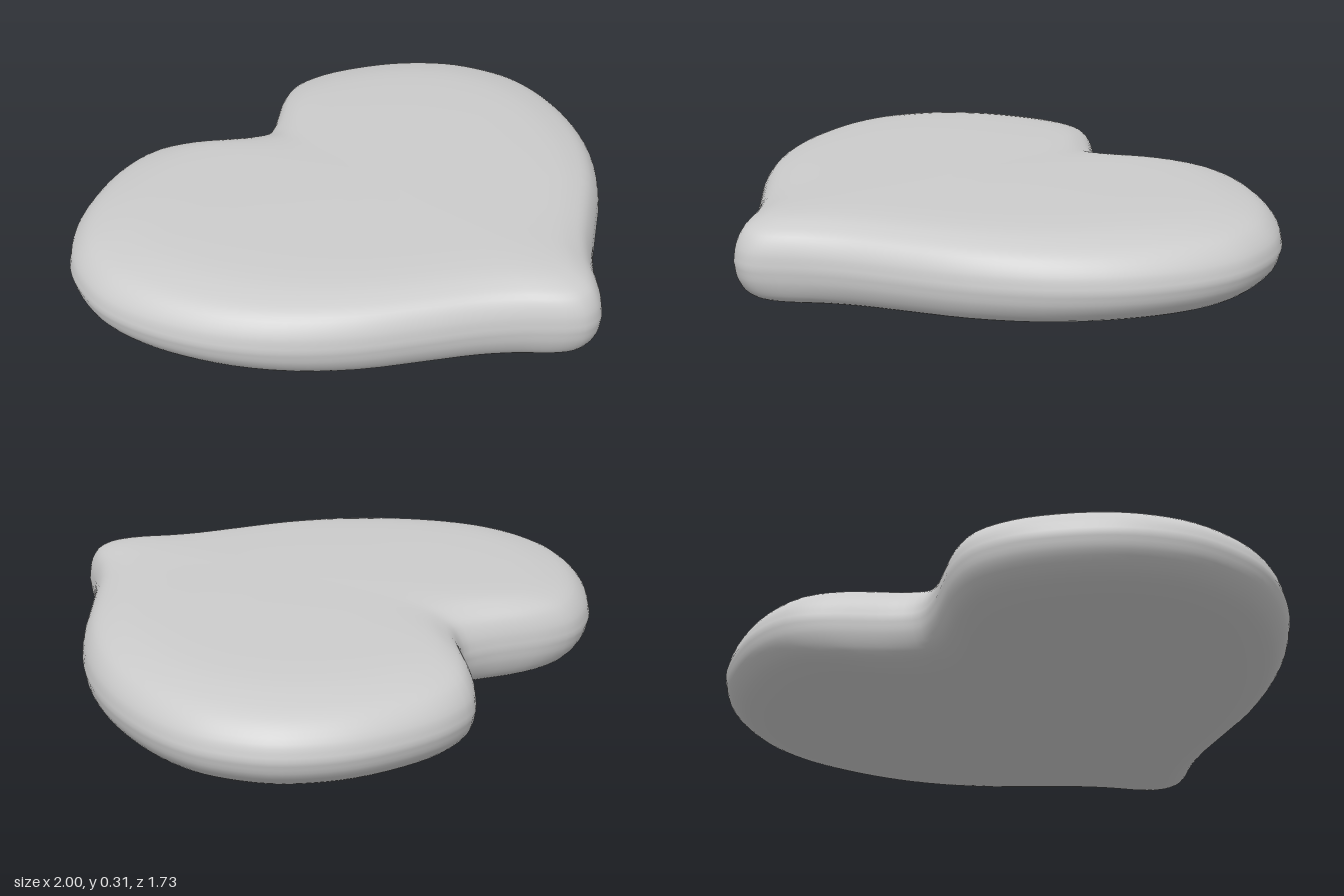
import * as THREE from 'three';

// Right half of the heart outline as (x, z), from the cleft round to the tip
const HALF = [
  [0, -0.65], [0.08, -0.685], [0.16, -0.745], [0.26, -0.82], [0.37, -0.865], [0.5, -0.855],
  [0.63, -0.805], [0.77, -0.72], [0.87, -0.625], [0.94, -0.525], [0.985, -0.4], [1, -0.29],
  [0.985, -0.16], [0.94, -0.02], [0.87, 0.12], [0.76, 0.27], [0.6, 0.42], [0.41, 0.55],
  [0.27, 0.645], [0.17, 0.73], [0.09, 0.815], [0.04, 0.852], [0, 0.86],
];

// Pillow cross-section: fraction of the way in from the rim, half thickness
const PROFILE = [
  [0, 0], [0.015, 0.05], [0.065, 0.1], [0.16, 0.129], [0.28, 0.144], [0.6, 0.153], [1, 0.157],
];

const MID_Y = 0.157;
const CENTRE_Z = -0.05;

function heartGeometry() {
  // Mirrored closed outline
  const mirrored = HALF.slice(1, -1).reverse().map(([x, z]) => [-x, z]);
  const outline = new THREE.CatmullRomCurve3(
    [...HALF, ...mirrored].map(([x, z]) => new THREE.Vector3(x, 0, z)), true, 'centripetal');
  const count = (HALF.length + mirrored.length) * 3;
  const rim = Array.from({ length: count }, (_, i) => outline.getPoint(i / count));

  // Rings from the top centre, over the rim, to the bottom centre
  const section = new THREE.CatmullRomCurve3(
    PROFILE.map(([q, h]) => new THREE.Vector3(q, h, 0)), false, 'centripetal').getPoints(24);
  const rings = [
    ...section.slice().reverse().map((p) => [p.x, p.y]),
    ...section.slice(1).map((p) => [p.x, -p.y]),
  ];

  const positions = [];
  const indices = [];
  rings.forEach(([q, h], i) => {
    rim.forEach((p, j) => {
      // The rounding is tighter towards the tip
      const tight = 1 - 0.35 * THREE.MathUtils.smoothstep(p.z, 0, 0.86);
      const s = 1 - q * (tight + (1 - tight) * q);
      positions.push(p.x * s, MID_Y + h, CENTRE_Z + (p.z - CENTRE_Z) * s);
      if (i === rings.length - 1) return;
      const k = (j + 1) % count;
      const a = i * count + j, b = i * count + k;
      const c = a + count, d = b + count;
      if (i > 0) indices.push(a, b, c);
      if (i < rings.length - 2) indices.push(b, d, c);
      else indices.push();
    });
  });

  const geometry = new THREE.BufferGeometry();
  geometry.setAttribute('position', new THREE.Float32BufferAttribute(positions, 3));
  geometry.setIndex(indices);
  geometry.computeVertexNormals();
  // The centre points of both faces look straight up and down
  const normals = geometry.attributes.normal;
  const last = (rings.length - 1) * count;
  for (let j = 0; j < count; j++) {
    normals.setXYZ(j, 0, 1, 0);
    normals.setXYZ(last + j, 0, -1, 0);
  }
  return geometry;
}

export function createModel() {
  const group = new THREE.Group();
  group.name = 'heart';
  const body = new THREE.Mesh(heartGeometry(), new THREE.MeshStandardMaterial({ color: 0xcccccc }));
  body.name = 'heartBody';
  group.add(body);
  return group;
}
